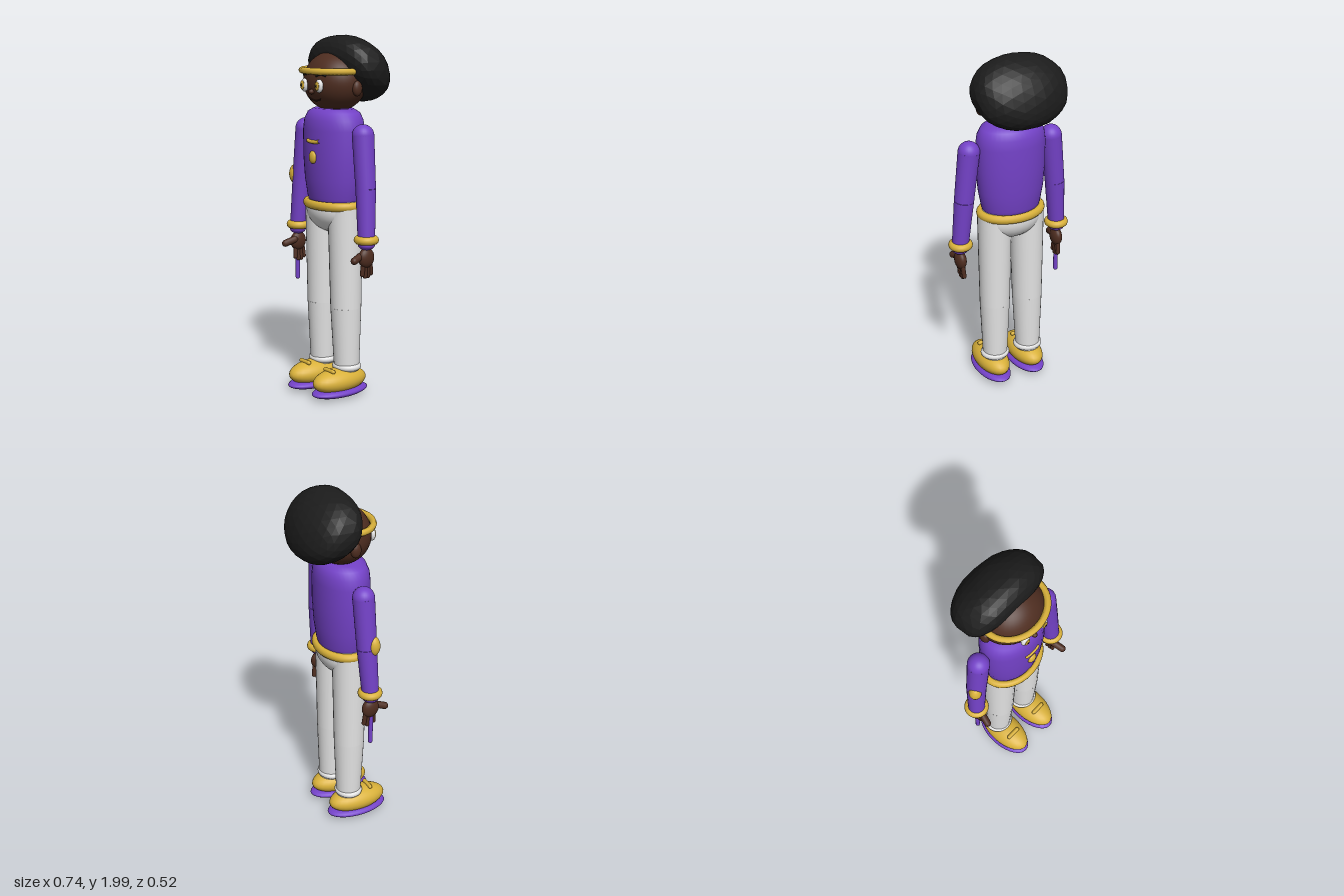
import * as THREE from 'three';

const mat = (name, color) => Object.assign(new THREE.MeshStandardMaterial({ color }), { name });
const V = (x, y, z) => new THREE.Vector3(x, y, z);

export function createModel() {
  const purple = mat('purple', 0x7442c8), gold = mat('gold', 0xd9b13a), skin = mat('skin', 0x4e2d20);
  const white = mat('white', 0xe4e4e4), black = mat('black', 0x1c1c1c), lip = mat('lip', 0x2c1610);

  const model = new THREE.Group();
  model.name = 'figure';
  let parent = model;

  const add = (name, geo, material, pos = [0, 0, 0]) => {
    const m = new THREE.Mesh(geo, material);
    m.name = name;
    m.position.set(...pos);
    parent.add(m);
    return m;
  };
  const group = (name) => {
    parent = new THREE.Group();
    parent.name = name;
    model.add(parent);
  };
  const ball = (name, material, pos, radii, seg = 28) =>
    add(name, new THREE.SphereGeometry(1, seg, Math.ceil(seg * 0.7)).scale(...radii), material, pos);
  // Tapered limb between two points, r0 at the start and r1 at the end
  const limb = (name, material, a, b, r0, r1) => {
    const d = b.clone().sub(a);
    const m = add(name, new THREE.CylinderGeometry(r1, r0, d.length(), 28), material,
      a.clone().add(b).multiplyScalar(0.5).toArray());
    m.quaternion.setFromUnitVectors(V(0, 1, 0), d.normalize());
    return m;
  };
  const rod = (name, material, a, b, r) => {
    const d = b.clone().sub(a);
    const m = add(name, new THREE.CapsuleGeometry(r, d.length(), 5, 12), material,
      a.clone().add(b).multiplyScalar(0.5).toArray());
    m.quaternion.setFromUnitVectors(V(0, 1, 0), d.normalize());
    return m;
  };
  const tube = (name, material, pts, r) =>
    add(name, new THREE.TubeGeometry(new THREE.CatmullRomCurve3(pts), 24, r, 8), material);
  // Horizontal ring, optionally oval
  const ring = (name, material, pos, rx, rz, t) =>
    add(name, new THREE.TorusGeometry(1, t / rx, 12, 40).rotateX(Math.PI / 2).scale(rx, rx, rz), material, pos);

  // Torso
  group('body');
  const profile = [[0, 1.04], [0.15, 1.06], [0.172, 1.12], [0.19, 1.22], [0.2, 1.35], [0.2, 1.49],
    [0.192, 1.545], [0.17, 1.585], [0.13, 1.605], [0, 1.612]].map(([x, y]) => new THREE.Vector2(x, y));
  add('torso', new THREE.LatheGeometry(profile, 40).scale(1, 1, 0.725), purple, [0, 0, 0.03]);
  ring('belt', gold, [0, 1.08, 0.03], 0.175, 0.13, 0.025);
  ball('pelvis', white, [0, 1.05, 0.03], [0.185, 0.13, 0.13]);
  ball('medallion', gold, [0, 1.345, 0.176], [0.028, 0.035, 0.016]);
  tube('chestBar', gold, [V(-0.05, 1.435, 0.17), V(-0.03, 1.43, 0.174), V(0.03, 1.43, 0.174), V(0.05, 1.435, 0.17)], 0.01);

  for (const s of [-1, 1]) {
    const side = s > 0 ? 'left' : 'right';

    // Leg and shoe
    group(side + 'Leg');
    const hip = V(s * 0.1, 1.07, 0.03), knee = V(s * 0.104, 0.51, 0.028), ankle = V(s * 0.107, 0.15, 0.024);
    limb('thigh', white, hip, knee, 0.097, 0.086);
    limb('shin', white, knee, ankle, 0.086, 0.07);
    ring('trouserCuff', white, [s * 0.107, 0.172, 0.024], 0.067, 0.062, 0.018);
    ball('shoe', gold, [s * 0.11, 0.1, 0.078], [0.09, 0.07, 0.175]);
    ball('sole', purple, [s * 0.11, 0.04, 0.076], [0.095, 0.032, 0.183]);
    rod('shoeStrap', gold, V(s * 0.11 - 0.035, 0.165, 0.15), V(s * 0.11 + 0.035, 0.165, 0.15), 0.012);

    // Arm
    group(side + 'Arm');
    const shoulder = V(s * 0.25, 1.475, 0.03), elbow = V(s * 0.281, 1.19, 0.036), wrist = V(s * 0.305, 0.895, 0.05);
    ball('shoulder', purple, shoulder.toArray(), [0.06, 0.06, 0.06]);
    limb('upperSleeve', purple, shoulder, elbow, 0.06, 0.055);
    limb('lowerSleeve', purple, elbow, wrist, 0.055, 0.046);
    ball('sleeveEnd', purple, wrist.toArray(), [0.046, 0.03, 0.046]);
    ring('bracelet', gold, [s * 0.302, 0.92, 0.048], 0.045, 0.045, 0.023);

    // Hand
    ball('palm', skin, [s * 0.304, 0.823, 0.05], [0.031, 0.055, 0.05]);
    for (let i = 0; i < 4; i++) {
      const z = 0.014 + i * 0.02, tip = i === 0 || i === 3 ? 0.732 : 0.72;
      rod('finger', skin, V(s * 0.304, 0.8, z * 0.8 + 0.01), V(s * 0.299, tip, z), 0.0125);
    }
    rod('thumb', skin, V(s * 0.295, 0.835, 0.08), V(s * 0.309, 0.816, 0.137), 0.02);
  }

  // Details on the right arm
  group('armDetails');
  ball('elbowPatch', gold, [-0.314, 1.21, 0.06], [0.035, 0.056, 0.035]);
  rod('wand', purple, V(-0.306, 0.84, 0.052), V(-0.306, 0.61, 0.052), 0.013);

  // Head
  group('head');
  const hc = V(0, 1.75, 0.02), hr = V(0.188, 0.165, 0.165);
  const faceZ = (x, y) => hc.z + hr.z * Math.sqrt(Math.max(0, 1 - (x / hr.x) ** 2 - ((y - hc.y) / hr.y) ** 2));
  const onFace = (x, y, out = 0) => V(x, y, faceZ(x, y) + out);
  ball('skull', skin, hc.toArray(), hr.toArray(), 40);
  ball('nose', skin, onFace(0, 1.7, 0.005).toArray(), [0.015, 0.014, 0.018], 16);
  tube('mouth', lip, [-0.05, -0.03, 0, 0.03, 0.05].map((x) => onFace(x, 1.651 + x * x * 5, 0.001)), 0.004);
  for (const s of [-1, 1]) {
    ball('ear', skin, [s * 0.186, 1.72, 0.018], [0.022, 0.042, 0.03], 18);
    ball('eye', white, onFace(s * 0.064, 1.733, 0.006).toArray(), [0.027, 0.036, 0.018], 20);
    ball('iris', gold, onFace(s * 0.064, 1.733, 0.022).toArray(), [0.017, 0.024, 0.005], 18);
    ball('pupil', black, onFace(s * 0.064, 1.733, 0.027).toArray(), [0.006, 0.008, 0.003], 12);
    tube('eyebrow', black, [onFace(s * 0.037, 1.785, 0.003), onFace(s * 0.066, 1.795, 0.003), onFace(s * 0.1, 1.786, 0.003)], 0.006);
  }

  // Headband around the front of the head
  const band = [];
  for (let i = 0; i <= 16; i++) {
    const a = (i / 16) * Math.PI;
    band.push(V(0.184 * Math.cos(a), 1.81, 0.037 + 0.157 * Math.sin(a)));
  }
  tube('headband', gold, band, 0.018);

  // Faceted hair, leaning back towards the nape
  const hair = new THREE.IcosahedronGeometry(1, 4);
  const p = hair.attributes.position;
  const puff = (v) => Math.sign(v) * Math.abs(v) ** 0.93;
  for (let i = 0; i < p.count; i++) {
    const x = p.getX(i), y = p.getY(i), z = p.getZ(i);
    const w = 1 + 0.012 * Math.sin(7 * x + 3 * z) * Math.cos(6 * y);
    const front = z > 0 ? 0.04 * x * x : 0;
    p.setXYZ(i, 0.264 * puff(x) * w, 0.183 * puff(y) * w, 0.158 * z * w + 0.062 * y + front);
  }
  hair.computeVertexNormals();
  add('hair', hair, black, [0, 1.816, -0.088]);

  return model;
}
